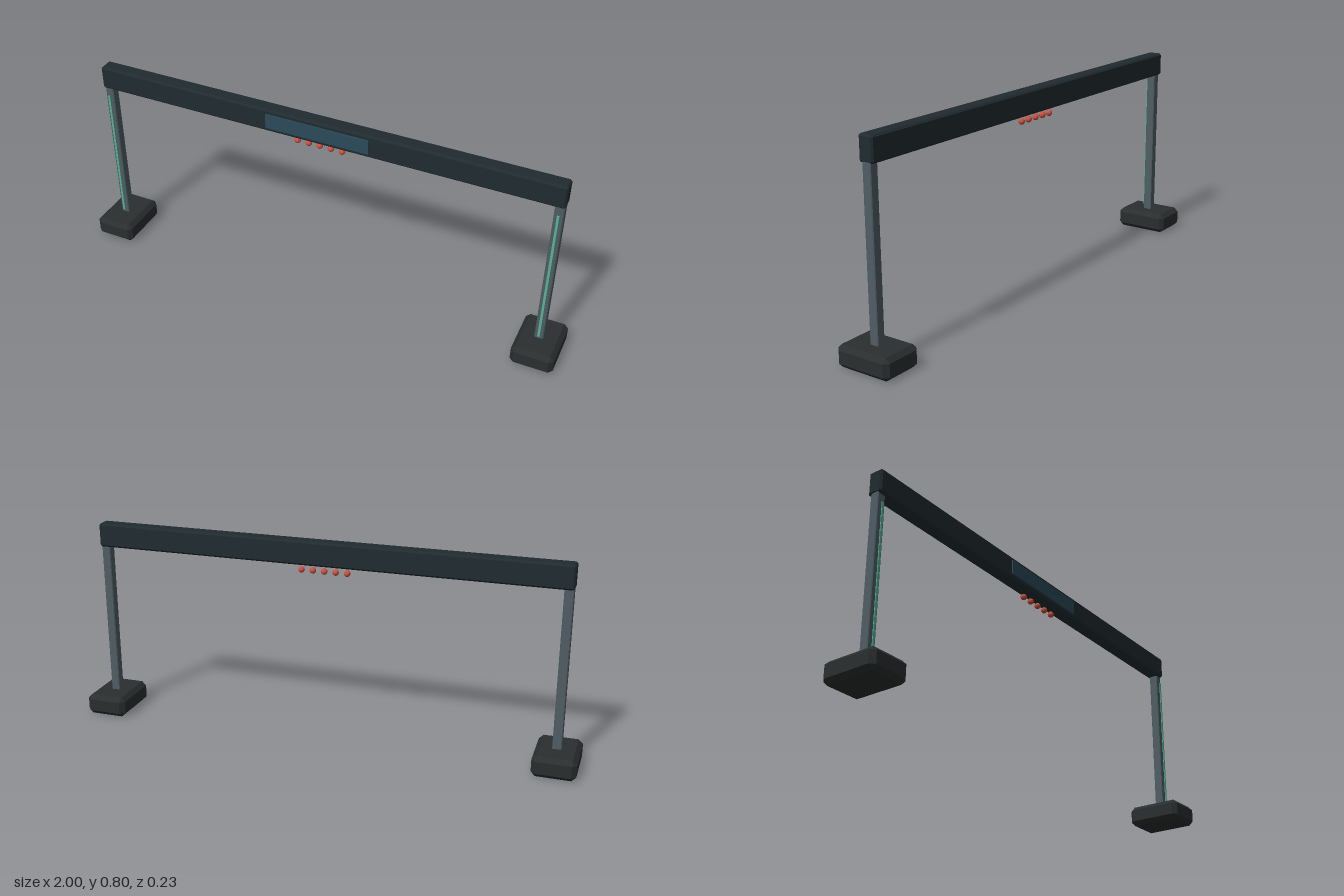
import * as THREE from 'three';
import { ConvexGeometry } from 'three/addons/geometries/ConvexGeometry.js';

const paint = (color, flatShading = true) => new THREE.MeshStandardMaterial({ color, flatShading });

// Box with every edge cut at 45 degrees by c
function chamferBox(w, h, d, c) {
  const points = [];
  for (const sx of [-1, 1]) for (const sy of [-1, 1]) for (const sz of [-1, 1]) {
    for (const [cx, cy, cz] of [[0, c, c], [c, 0, c], [c, c, 0]]) {
      points.push(new THREE.Vector3(sx * (w / 2 - cx), sy * (h / 2 - cy), sz * (d / 2 - cz)));
    }
  }
  return new ConvexGeometry(points);
}

export function createModel() {
  const model = new THREE.Group();
  model.name = 'archway';

  const add = (name, geometry, material, x, y, z) => {
    const mesh = new THREE.Mesh(geometry, material);
    mesh.name = name;
    mesh.position.set(x, y, z);
    model.add(mesh);
  };

  const baseMat = paint(0x2a2e2f);
  const postMat = paint(0x4f5d64);
  const beamMat = paint(0x202b30);
  const signMat = paint(0x2c4a59);
  const glowMat = paint(0x55b596);
  const bulbMat = paint(0xc9503f, false);

  // Footing, post and light strip on each side
  const baseGeo = chamferBox(0.166, 0.083, 0.226, 0.017);
  const postGeo = chamferBox(0.035, 0.64, 0.036, 0.003);
  const stripGeo = new THREE.BoxGeometry(0.009, 0.571, 0.003);
  for (const [side, s] of [['left', 1], ['right', -1]]) {
    add(side + 'Base', baseGeo, baseMat, s * 0.917, 0.0415, 0);
    add(side + 'Post', postGeo, postMat, s * 0.915, 0.393, 0);
    add(side + 'LightStrip', stripGeo, glowMat, s * 0.915, 0.3825, 0.025);
  }

  // Crossbeam with a blank sign panel on its front
  add('crossbeam', chamferBox(1.87, 0.094, 0.06, 0.007), beamMat, 0, 0.75, 0);
  add('signPanel', new THREE.BoxGeometry(0.416, 0.059, 0.008), signMat, 0, 0.75, 0.031);

  // Row of small bulbs under the beam
  const bulbGeo = new THREE.SphereGeometry(0.0125, 16, 12);
  for (let i = -2; i <= 2; i++) add('bulb' + (i + 3), bulbGeo, bulbMat, i * 0.0455, 0.679, 0);

  return model;
}
